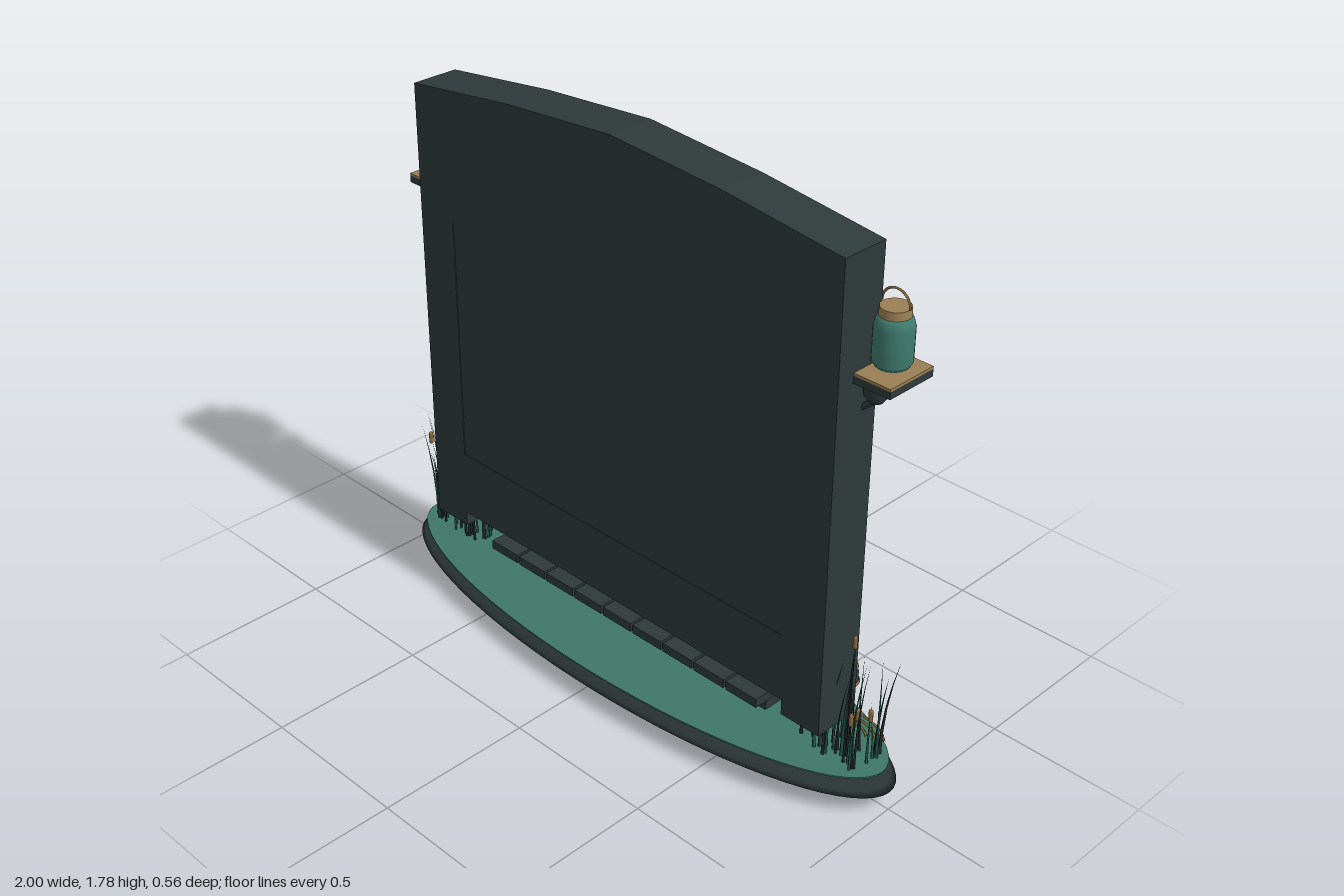
import * as THREE from 'three';

const mat = (name, color, side = THREE.FrontSide) => {
  const m = new THREE.MeshStandardMaterial({ color, side });
  m.name = name;
  return m;
};

export function createModel() {
  const root = new THREE.Group();
  root.name = 'displayFrameOnIsland';
  const slate = mat('slate', 0x2f3a3b);
  const hullMat = mat('darkHull', 0x2a3435);
  const teal = mat('teal', 0x3f7868);
  const glass = mat('jarGlass', 0x407c6f);
  const bronze = mat('bronze', 0x8a6a3c);
  const tan = mat('tanWood', 0x9a7f54);
  const reedDark = mat('darkReed', 0x1c2927, THREE.DoubleSide);
  const reedTeal = mat('tealReed', 0x1d5045, THREE.DoubleSide);

  let seed = 7;
  const rnd = (a, b) => {
    seed = (seed * 16807) % 2147483647;
    return a + (b - a) * (seed / 2147483647);
  };
  const V = (x, y, z) => new THREE.Vector3(x, y, z);
  const add = (name, geo, m, x = 0, y = 0, z = 0, parent = root) => {
    const mesh = new THREE.Mesh(geo, m);
    mesh.name = name;
    mesh.position.set(x, y, z);
    parent.add(mesh);
    return mesh;
  };
  // box given by its minimum and maximum corners
  const box = (name, m, x0, x1, y0, y1, z0, z1) =>
    add(name, new THREE.BoxGeometry(x1 - x0, y1 - y0, z1 - z0), m, (x0 + x1) / 2, (y0 + y1) / 2, (z0 + z1) / 2);
  const lathe = (pts, n = 32) => new THREE.LatheGeometry(pts.map(p => new THREE.Vector2(...p)), n);
  const tube = (name, pts, r, m = bronze, closed = false, n = 40) =>
    add(name, new THREE.TubeGeometry(new THREE.CatmullRomCurve3(pts, closed), n, r, 6, closed), m);
  const shapeOf = pts => new THREE.Shape(pts.map(p => new THREE.Vector2(...p)));
  const rect = (w, y0, y1) => [[-w, y0], [w, y0], [w, y1], [-w, y1]];
  const extrude = (shape, depth) => new THREE.ExtrudeGeometry(shape, { depth, bevelEnabled: false, curveSegments: 16 });

  // Island: lens-shaped hull and thin water disc
  const hull = lathe([[0, 0.006], [0.5, 0.012], [0.78, 0.028], [0.94, 0.046], [1, 0.062], [0.98, 0.075],
    [0.88, 0.09], [0.6, 0.108], [0, 0.112]], 72);
  add('islandHull', hull, hullMat).scale.z = 0.275;
  add('waterDisc', new THREE.CylinderGeometry(0.97, 0.97, 0.005, 72), teal, 0, 0.116, 0).scale.z = 0.275;

  // Frame body with arched top, legs and a large opening
  const body = shapeOf([[-0.82, 0.22], [-0.68, 0.22], [-0.68, 0.27], [0.68, 0.27], [0.68, 0.22], [0.82, 0.22],
    [0.82, 1.7], [0.41, 1.75], [0, 1.78], [-0.41, 1.75], [-0.82, 1.7]]);
  body.holes.push(new THREE.Path(rect(0.675, 0.49, 1.3).map(p => new THREE.Vector2(...p))));
  add('frameBody', extrude(body, 0.155), slate, 0, 0, -0.047);
  box('recessPanel', slate, -0.674, 0.674, 0.491, 1.299, 0.08, 0.106);

  // Bronze double moulding around the opening
  for (const [w, t, d] of [[0.705, 0.014, 0.02], [0.685, 0.012, 0.028]]) {
    const o = w - 0.675;
    const s = shapeOf(rect(w, 0.49 - o, 1.3 + o));
    s.holes.push(new THREE.Path(rect(w - t, 0.49 - o + t, 1.3 + o - t).map(p => new THREE.Vector2(...p))));
    add('openingMoulding', extrude(s, d), bronze, 0, 0, -0.046 - d);
  }

  // Header: arched trim, plaque outline and crescent
  tube('headerTrim', [V(-0.79, 1.625, -0.05), V(-0.4, 1.655, -0.05), V(0, 1.675, -0.05), V(0.4, 1.655, -0.05), V(0.79, 1.625, -0.05)], 0.006);
  const plaque = [];
  for (const [cx, cy, a0] of [[0.295, 1.475, 0], [-0.295, 1.475, 1], [-0.295, 1.405, 2], [0.295, 1.405, 3]])
    for (let i = 0; i < 4; i++) {
      const a = (a0 + i / 3) * Math.PI / 2;
      plaque.push(V(cx + 0.022 * Math.cos(a), cy + 0.022 * Math.sin(a), -0.053));
    }
  tube('plaqueRim', plaque, 0.008, bronze, true, 90);
  const moon = new THREE.Shape();
  moon.absarc(0, 0, 0.055, Math.PI * 0.4, -Math.PI * 0.4, true);
  moon.quadraticCurveTo(-0.03, 0, 0.017, 0.0523);
  add('crescent', extrude(moon, 0.012), tan, 0, 1.595, -0.058);

  // Pointed leaf used on vines and carvings
  const leafShape = new THREE.Shape();
  leafShape.moveTo(0, 0);
  leafShape.quadraticCurveTo(0.018, 0.012, 0.04, 0);
  leafShape.quadraticCurveTo(0.018, -0.012, 0, 0);
  const leafGeo = extrude(leafShape, 0.008);
  const leaf = (name, m, x, y, angle) => { add(name, leafGeo, m, x, y, -0.055).rotation.z = angle; };

  for (const s of [1, -1]) {
    // Header vines
    const vy = t => 1.588 + 0.012 * Math.sin(t * 14);
    tube('headerVine', [...Array(9)].map((_, i) => V(s * (0.13 + i * 0.06), vy(i / 8), -0.05)), 0.004, reedTeal);
    for (let i = 0; i < 10; i++) {
      const up = i % 2 ? 1 : -1, a = up * 0.7;
      leaf('vineLeaf', i % 3 ? reedTeal : bronze, s * (0.14 + i * 0.048), vy(i / 10), s > 0 ? a : Math.PI - a);
    }
    // Lower rail carving
    tube('lowerStem', [V(s * 0.36, 0.375, -0.05), V(s * 0.5, 0.39, -0.05), V(s * 0.67, 0.385, -0.05)], 0.004);
    for (let i = 0; i < 7; i++)
      for (const up of [1, -1]) leaf('lowerLeaf', bronze, s * (0.38 + i * 0.04), 0.385, s > 0 ? up * 0.8 : Math.PI - up * 0.8);
  }
  for (const [y, k] of [[0.395, 0], [0.365, 1.2]])
    tube('waveCarving', [...Array(15)].map((_, i) => V(-0.35 + i * 0.05, y + 0.012 * Math.sin(i * 0.9 + k), -0.05)), 0.005, bronze, false, 60);

  for (const s of [1, -1]) {
    // Column with capital, base and bronze rings
    const column = lathe([[0, 0.265], [0.03, 0.27], [0.041, 0.285], [0.041, 0.315], [0.034, 0.335], [0.031, 0.36],
      [0.029, 1.23], [0.034, 1.25], [0.042, 1.272], [0.042, 1.295], [0, 1.297]], 24);
    add('column', column, slate, s * 0.755, 0, -0.075);
    for (const [y, r] of [[0.335, 0.035], [0.45, 0.03], [0.285, 0.041], [1.235, 0.032], [1.283, 0.042]])
      add('columnRing', new THREE.TorusGeometry(r, 0.005, 6, 24), bronze, s * 0.755, y, -0.075).rotation.x = Math.PI / 2;

    // Shelf and bracket
    const sx = s * 0.86;
    box('shelf', slate, sx - 0.08, sx + 0.08, 1.33, 1.352, -0.122, 0.05);
    box('shelfTop', tan, sx - 0.08, sx + 0.08, 1.352, 1.36, -0.122, 0.05);
    add('shelfBracket', lathe([[0, 1.265], [0.02, 1.27], [0.034, 1.29], [0.038, 1.332]], 20), slate, s * 0.855, 0, -0.005);
    tube('bracketScroll', [V(s * 0.815, 1.24, 0), V(s * 0.835, 1.255, 0), V(s * 0.86, 1.275, 0)], 0.01, slate, false, 10);

    // Jar lantern with lid and handle
    add('lanternJar', lathe([[0, 1.36], [0.046, 1.361], [0.055, 1.375], [0.055, 1.475], [0.049, 1.495], [0.04, 1.508], [0, 1.51]], 28), glass, sx, 0, -0.053);
    add('lanternLid', new THREE.CylinderGeometry(0.042, 0.044, 0.024, 28), tan, sx, 1.517, -0.053);
    add('lanternHandle', new THREE.TorusGeometry(0.045, 0.0035, 6, 24, Math.PI), bronze, sx, 1.532, -0.053);

    // Dock supports: feet, rings and stringers
    add('dockPost', new THREE.CylinderGeometry(0.04, 0.04, 0.17, 20), slate, s * 0.53, 0.085, -0.12);
    add('dockPostRing', new THREE.TorusGeometry(0.04, 0.005, 6, 20), bronze, s * 0.53, 0.14, -0.12).rotation.x = Math.PI / 2;
    box('dockStringer', slate, s * 0.53 - 0.035, s * 0.53 + 0.035, 0.13, 0.173, -0.265, 0.04);

    // Reeds: thin tapering blades leaning outward, some with seed heads
    for (let i = 0; i < 46; i++) {
      const h = rnd(0.16, 0.44), x = rnd(0.69, 0.93), z = rnd(-0.06, 0.06);
      const lean = rnd(-0.03, 0.06) * h / 0.44, lz = rnd(-0.03, 0.03);
      const geo = new THREE.ConeGeometry(rnd(0.004, 0.007), h, 4, 4);
      const p = geo.attributes.position;
      for (let k = 0; k < p.count; k++) {
        const t = p.getY(k) / h + 0.5;
        p.setX(k, p.getX(k) + s * lean * t * t);
        p.setZ(k, p.getZ(k) + lz * t * t);
      }
      geo.computeVertexNormals();
      add('reedBlade', geo, i % 3 ? reedDark : reedTeal, s * x, 0.115 + h / 2, z);
      if (i % 11 === 0)
        add('seedHead', new THREE.CapsuleGeometry(0.007, 0.03, 4, 8), bronze, s * (x + lean), 0.115 + h, z + lz);
    }
    // Ripple arcs on the water
    for (let i = 0; i < 3; i++) {
      const arc = [...Array(7)].map((_, k) => {
        const a = 0.5 + k * 0.35;
        return V(s * (0.77 + (0.08 + i * 0.03) * Math.cos(a)), 0.12, -0.06 - (0.05 + i * 0.02) * Math.sin(a));
      });
      tube('rippleArc', arc, 0.0035, bronze, false, 20);
    }
  }

  // Dock planks with a nail near the outer end
  for (let i = 0; i < 9; i++) {
    const x = (i - 4) * 0.1285;
    box('dockPlank', slate, x - 0.06, x + 0.06, 0.173, 0.203, -0.283, 0.094);
    add('plankNail', new THREE.CylinderGeometry(0.006, 0.006, 0.004, 10), bronze, x, 0.204, -0.255);
  }
  return root;
}
